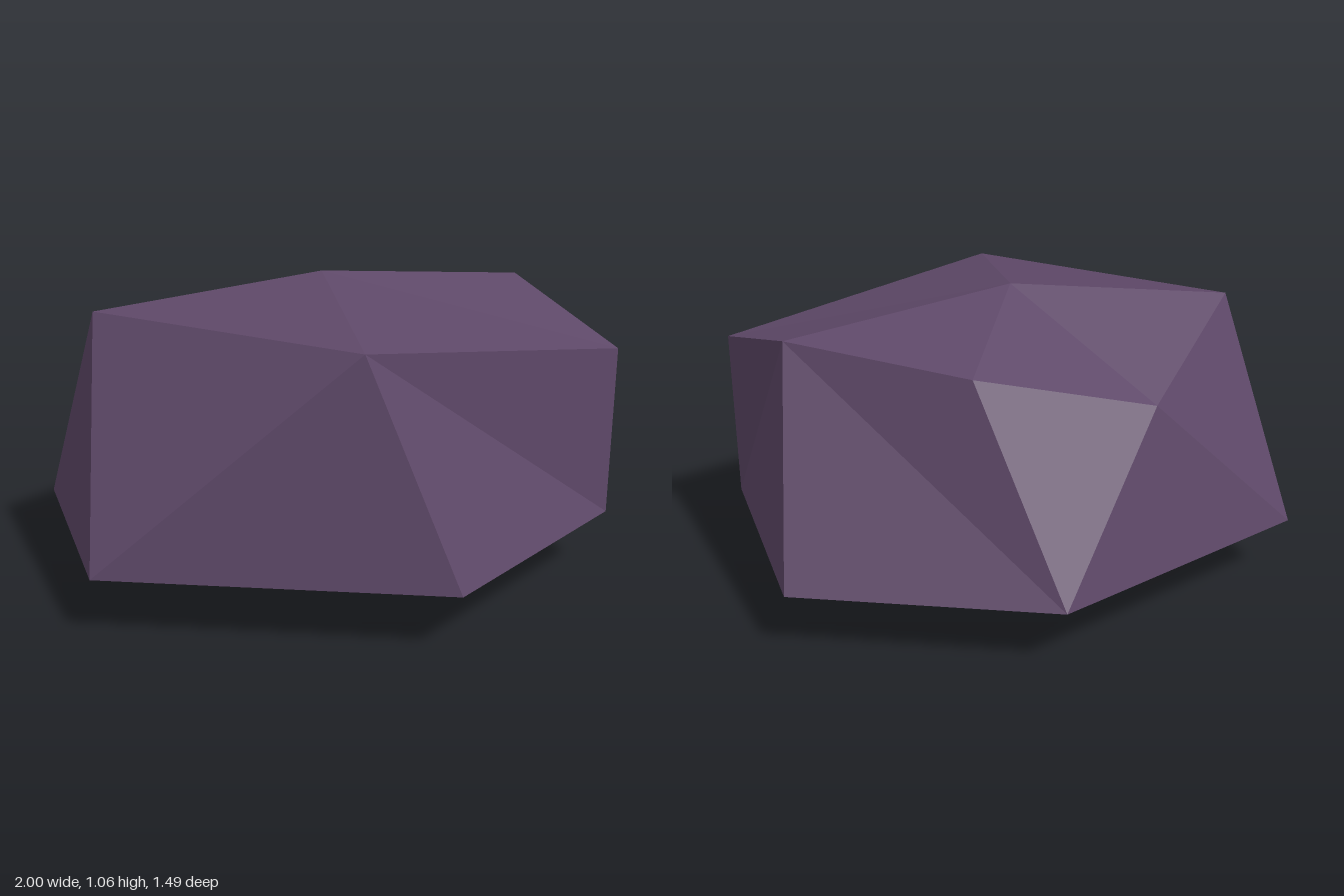
import * as THREE from 'three';

// Faceted boulder: two uneven six-point rings, closed by a peak and a base point.
const PEAK = [-0.01, 1.06, -0.02];
const BASE = [0.2, 0, -0.02];
const UPPER = [
  [-0.75, 0.97, 0.23], [0.16, 0.97, 0.67], [1, 0.82, 0.045],
  [0.68, 0.97, -0.415], [0.06, 0.91, -0.55], [-0.51, 0.765, -0.35],
];
const LOWER = [
  [-0.7, 0.22, 0.69], [0.47, 0.22, 0.74], [1, 0.22, 0.045],
  [0.65, 0.22, -0.72], [-0.25, 0.22, -0.75], [-1, 0.22, -0.04],
];
// Side panels whose diagonal falls from the upper left corner
const FALLING = [1, 3];

function rockGeometry() {
  const points = [];
  const face = (a, b, c) => points.push(...a, ...b, ...c);
  for (let i = 0; i < 6; i++) {
    const j = (i + 1) % 6;
    const [u, v, l, m] = [UPPER[i], UPPER[j], LOWER[i], LOWER[j]];
    face(PEAK, u, v);
    face(BASE, m, l);
    if (FALLING.includes(i)) {
      face(l, m, u);
      face(m, v, u);
    } else {
      face(l, m, v);
      face(l, v, u);
    }
  }
  const geometry = new THREE.BufferGeometry();
  geometry.setAttribute('position', new THREE.Float32BufferAttribute(points, 3));
  geometry.computeVertexNormals();
  return geometry;
}

export function createModel() {
  const stone = new THREE.MeshStandardMaterial({ color: 0x5e4868 });
  stone.name = 'purpleStone';
  stone.flatShading = true;

  const rock = new THREE.Mesh(rockGeometry(), stone);
  rock.name = 'rock';

  const model = new THREE.Group();
  model.name = 'boulder';
  model.add(rock);
  return model;
}
